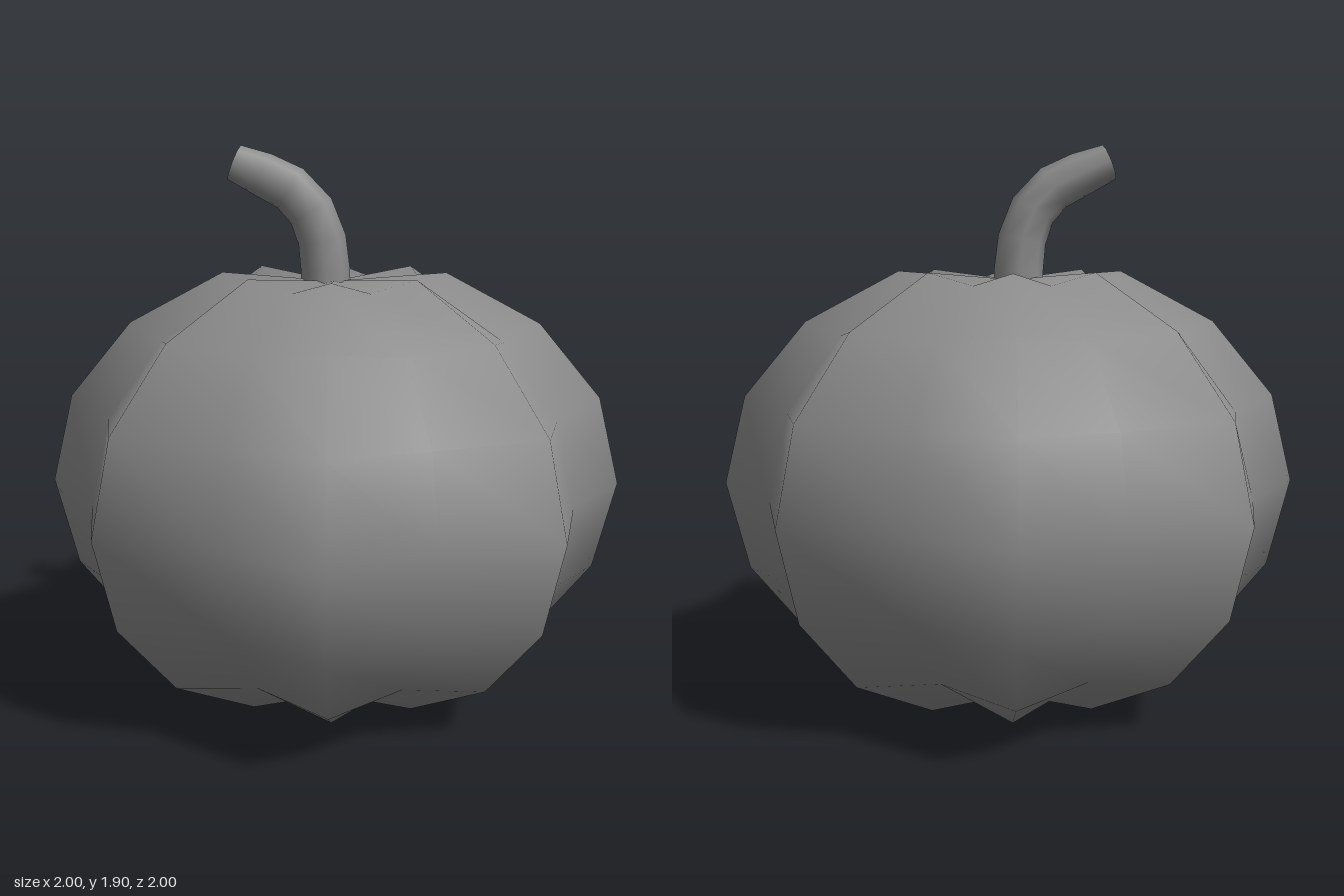
import * as THREE from 'three';
import { mergeVertices } from 'three/addons/utils/BufferGeometryUtils.js';

const MID = 0.74; // height of the widest ring

// Sphere with alternating ridges and valleys and slightly sunken poles
function bodyGeometry() {
  const sphere = new THREE.SphereGeometry(1, 16, 8);
  sphere.deleteAttribute('uv');
  sphere.deleteAttribute('normal');
  const geo = mergeVertices(sphere, 1e-4);
  const p = geo.attributes.position;
  const round = []; // normals of the plain squashed sphere
  for (let i = 0; i < p.count; i++) {
    const x = p.getX(i), y = p.getY(i), z = p.getZ(i);
    const pole = Math.abs(y) > 0.99;
    const step = Math.round(Math.atan2(z, x) / (Math.PI / 8));
    const valley = !pole && Math.abs(step % 2) === 1;
    const side = valley ? 0.855 : 1;
    const up = pole ? 0.71 : valley ? 0.755 : 0.8;
    round.push(new THREE.Vector3(x, y / 0.8, z).normalize());
    p.setXYZ(i, x * side, MID + y * up, z * side);
  }
  // Soften the shading of the ridges towards the poles
  geo.computeVertexNormals();
  const normals = geo.attributes.normal, n = new THREE.Vector3();
  round.forEach((r, i) => {
    n.fromBufferAttribute(normals, i).lerp(r, Math.abs(r.y)).normalize();
    normals.setXYZ(i, n.x, n.y, n.z);
  });
  return geo;
}

export function createModel() {
  const model = new THREE.Group();
  const material = new THREE.MeshStandardMaterial({ color: 0x8c8c8c });
  const add = (name, geo, parent = model) => {
    const mesh = new THREE.Mesh(geo, material);
    mesh.name = name;
    parent.add(mesh);
    return mesh;
  };

  add('pumpkinBody', bodyGeometry());

  // Curved stem, slimmer in its bending plane and narrowed at the cut end
  const stem = new THREE.Group();
  stem.name = 'stem';
  model.add(stem);
  const path = new THREE.CatmullRomCurve3([
    [-0.03, 1.38], [-0.03, 1.48], [-0.04, 1.58], [-0.07, 1.67],
    [-0.135, 1.75], [-0.235, 1.803], [-0.338, 1.846],
  ].map(([x, y]) => new THREE.Vector3(x, y, -0.015)));
  const rings = 6, sides = 8, radius = 0.086;
  const planeScale = (t) => 1 - 0.12 * t - 0.17 * t ** 8;
  const depthScale = (t) => 1 - 0.22 * t ** 8;
  const tube = new THREE.TubeGeometry(path, rings, radius, sides);
  const p = tube.attributes.position, v = new THREE.Vector3();
  for (let i = 0; i < p.count; i++) {
    const t = Math.floor(i / (sides + 1)) / rings;
    const c = path.getPointAt(t), s = planeScale(t);
    v.set(s, s, depthScale(t)).multiply(new THREE.Vector3().fromBufferAttribute(p, i).sub(c)).add(c);
    p.setXYZ(i, v.x, v.y, v.z);
  }
  add('stemTube', tube, stem);

  // Flat cut at the stem tip
  const cap = add('stemCut', new THREE.CircleGeometry(radius, sides), stem);
  const tip = path.getPointAt(1);
  cap.position.copy(tip);
  cap.scale.set(depthScale(1), planeScale(1), 1);
  cap.lookAt(tip.clone().add(path.getTangentAt(1)));

  return model;
}
